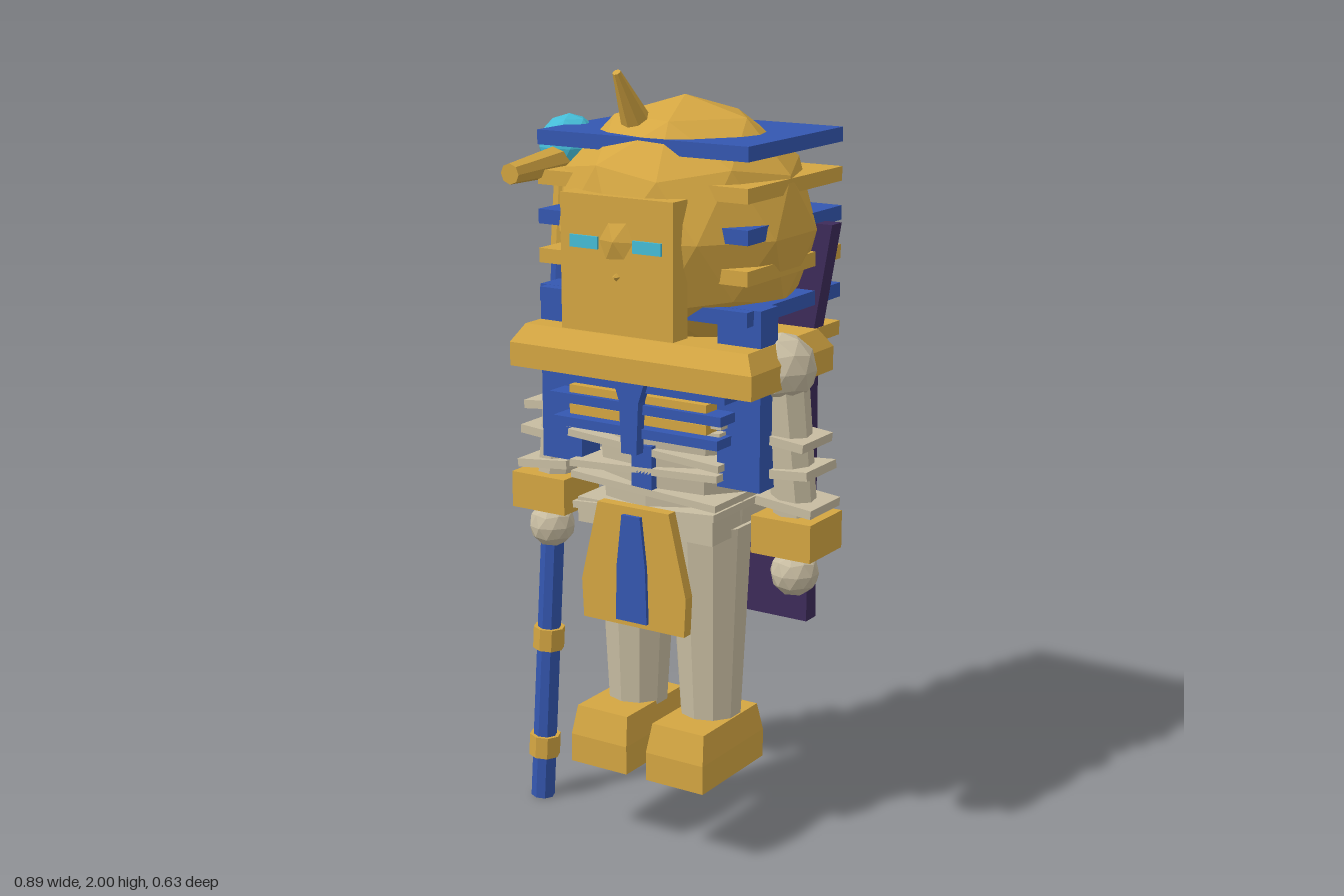
import * as THREE from 'three';

const mat = (name, color) => {
  const m = new THREE.MeshStandardMaterial({ color });
  m.name = name;
  m.flatShading = true;
  return m;
};

export function createModel() {
  const root = new THREE.Group();
  root.name = 'mummyGuardian';
  const gold = mat('gold', 0xd4a642);
  const blue = mat('lapisBlue', 0x3457b0);
  const cyan = mat('turquoise', 0x45bcd6);
  const linen = mat('linen', 0xc8bda2);
  const purple = mat('capePurple', 0x3d2b5a);

  const add = (name, geo, m, x = 0, y = 0, z = 0) => {
    const mesh = new THREE.Mesh(geo, m);
    mesh.name = name;
    mesh.position.set(x, y, z);
    root.add(mesh);
    return mesh;
  };
  // Box given by its min and max corners
  const span = (name, m, x0, x1, y0, y1, z0, z1) =>
    add(name, new THREE.BoxGeometry(x1 - x0, y1 - y0, z1 - z0), m, (x0 + x1) / 2, (y0 + y1) / 2, (z0 + z1) / 2);
  // Tapered cylinder between two points
  const rod = (name, m, a, b, ra, rb, sides = 8) => {
    const p = new THREE.Vector3(...a), q = new THREE.Vector3(...b);
    const d = q.clone().sub(p);
    const mesh = add(name, new THREE.CylinderGeometry(rb, ra, d.length(), sides), m);
    mesh.position.copy(p).add(q).multiplyScalar(0.5);
    mesh.quaternion.setFromUnitVectors(new THREE.Vector3(0, 1, 0), d.normalize());
    return mesh;
  };
  // Faceted ball with a vertex at the top
  const ball = (name, m, r, x, y, z) =>
    add(name, new THREE.IcosahedronGeometry(r, 1).rotateZ(-0.5536), m, x, y, z);
  // Flat outline mirrored in x, given as [halfWidth, y] from top to bottom
  const plate = (name, m, pts, z, depth) => {
    const right = pts.map(([x, y]) => new THREE.Vector2(x, y));
    const left = pts.map(([x, y]) => new THREE.Vector2(-x, y)).reverse();
    const geo = new THREE.ExtrudeGeometry(new THREE.Shape([...right, ...left]), { depth, bevelEnabled: false });
    return add(name, geo, m, 0, 0, z);
  };
  // Box whose upper part (above the middle row of vertices) slopes inward
  const bevelBox = (name, m, w, h, d, midY, topX, topZ, x, y, z) => {
    const geo = new THREE.BoxGeometry(w, h, d, 1, 2, 1);
    const p = geo.attributes.position;
    for (let i = 0; i < p.count; i++) {
      if (Math.abs(p.getY(i)) < 1e-6) p.setY(i, midY - h / 2);
      else if (p.getY(i) > 0) p.setXYZ(i, p.getX(i) * topX, p.getY(i), p.getZ(i) * topZ);
    }
    geo.computeVertexNormals();
    return add(name, geo, m, x, y, z);
  };

  // Head, face mask, brow horn
  ball('head', gold, 0.317, 0, 1.6, 0).scale.x = 1.05;
  span('faceMask', gold, -0.16, 0.16, 1.375, 1.705, 0.24, 0.302);
  rod('nose', gold, [0, 1.515, 0.3], [0, 1.515, 0.312], 0.012, 0.003, 4);
  rod('browHorn', gold, [0, 1.88, 0.22], [0, 1.993, 0.294], 0.035, 0.01, 8);

  // Striped headdress: stacked plates and two front lappets
  for (let i = 0; i < 6; i++) {
    const y = 1.814 - 0.097 * i;
    span('headdressStripe', i % 2 ? gold : blue, -0.3, 0.3, y - 0.018, y + 0.018, -0.25, 0.2);
  }

  // Collar and chest tiers
  bevelBox('collar', gold, 0.7, 0.105, 0.392, 0.06, 0.92, 0.85, 0, 1.302, 0.066);
  const tiers = [[blue, 1.235, 0.26], [gold, 1.2, 0.2], [blue, 1.18, 0.25], [gold, 1.15, 0.2], [blue, 1.12, 0.24]];
  for (const [m, y, w] of tiers) {
    span('chestTier', m, -w, w, y - 0.012, y + 0.012, -0.115, w > 0.2 ? 0.235 : 0.22);
  }
  plate('pectoral', blue, [[0.045, 1.25], [0.028, 1.2], [0.022, 1.07]].reverse(), 0.225, 0.03).rotation.x = 0;
  span('sash', blue, -0.03, 0.03, 0.96, 1.08, 0.15, 0.2);

  // Torso, hips and wrappings
  const torso = add('torso', new THREE.CylinderGeometry(0.235, 0.2, 0.4, 8), linen, 0, 1.06, 0.055);
  torso.scale.z = 0.62;
  span('hips', linen, -0.2, 0.2, 0.85, 0.915, -0.09, 0.19);
  for (let i = 0; i < 6; i++) {
    const w = add('torsoWrap', new THREE.BoxGeometry(0.46 - 0.008 * i, 0.018, 0.29), linen, 0, 1.17 - 0.052 * i, 0.055);
    w.rotation.z = (i % 2 ? 1 : -1) * (0.05 + 0.01 * (i % 3));
  }

  // Loincloth
  plate('loincloth', gold, [[0.15, 0.62], [0.155, 0.72], [0.105, 0.93]], 0.21, 0.03);
  plate('loinclothStripe', blue, [[0.046, 0.635], [0.042, 0.78], [0.027, 0.91]], 0.228, 0.022);

  // Cape
  plate('cape', purple, [[0.29, 0.58], [0.285, 1.27], [0.345, 1.61]], -0.17, 0.048);

  // Mirrored parts: lappet, eye, arm, leg
  for (const s of [1, -1]) {
    add('headdressLappet', new THREE.BoxGeometry(0.12, 0.445, 0.08), blue, s * 0.26, 1.222, 0.13);
    add('eye', new THREE.BoxGeometry(0.08, 0.03, 0.009), cyan, s * 0.09, 1.592, 0.304);

    ball('shoulder', linen, 0.088, s * 0.31, 1.285, 0.055);
    rod('arm', linen, [s * 0.315, 1.27, 0.055], [s * 0.365, 0.86, 0.06], 0.063, 0.052, 8);
    for (let i = 0; i < 3; i++) {
      const y = 1.12 - 0.08 * i;
      const w = add('armWrap', new THREE.BoxGeometry(0.155, 0.022, 0.146), linen, s * (0.335 + 0.012 * i), y, 0.053);
      w.rotation.z = s * (i % 2 ? 0.08 : -0.1);
    }
    add('wristCuff', new THREE.BoxGeometry(0.165, 0.095, 0.157), gold, s * 0.362, 0.884, 0.062);
    ball('hand', linen, 0.061, s * 0.366, 0.785, 0.075);

    rod('leg', linen, [s * 0.112, 0.34, 0.054], [s * 0.108, 0.87, 0.054], 0.078, 0.108, 10);
    bevelBox('foot', gold, 0.17, 0.15, 0.294, 0.075, 0.9, 0.88, s * 0.115, 0.285, 0.085);
  }

  // Staff with gold rings, forward prong and orb
  const at = (y) => [-0.412 + 0.055 * y, y, 0.077 - 0.012 * y];
  rod('staffShaft', blue, at(0.005), at(1.6), 0.032, 0.03, 8);
  for (const y of [0.155, 0.465, 1.37]) rod('staffRing', gold, at(y - 0.03), at(y + 0.03), 0.042, 0.042, 8);
  rod('staffNeck', gold, at(1.5), at(1.74), 0.033, 0.03, 8);
  rod('staffProng', gold, [-0.315, 1.745, 0.06], [-0.308, 1.735, 0.303], 0.042, 0.026, 8);
  ball('staffOrb', cyan, 0.08, -0.316, 1.775, 0.042);

  return root;
}
